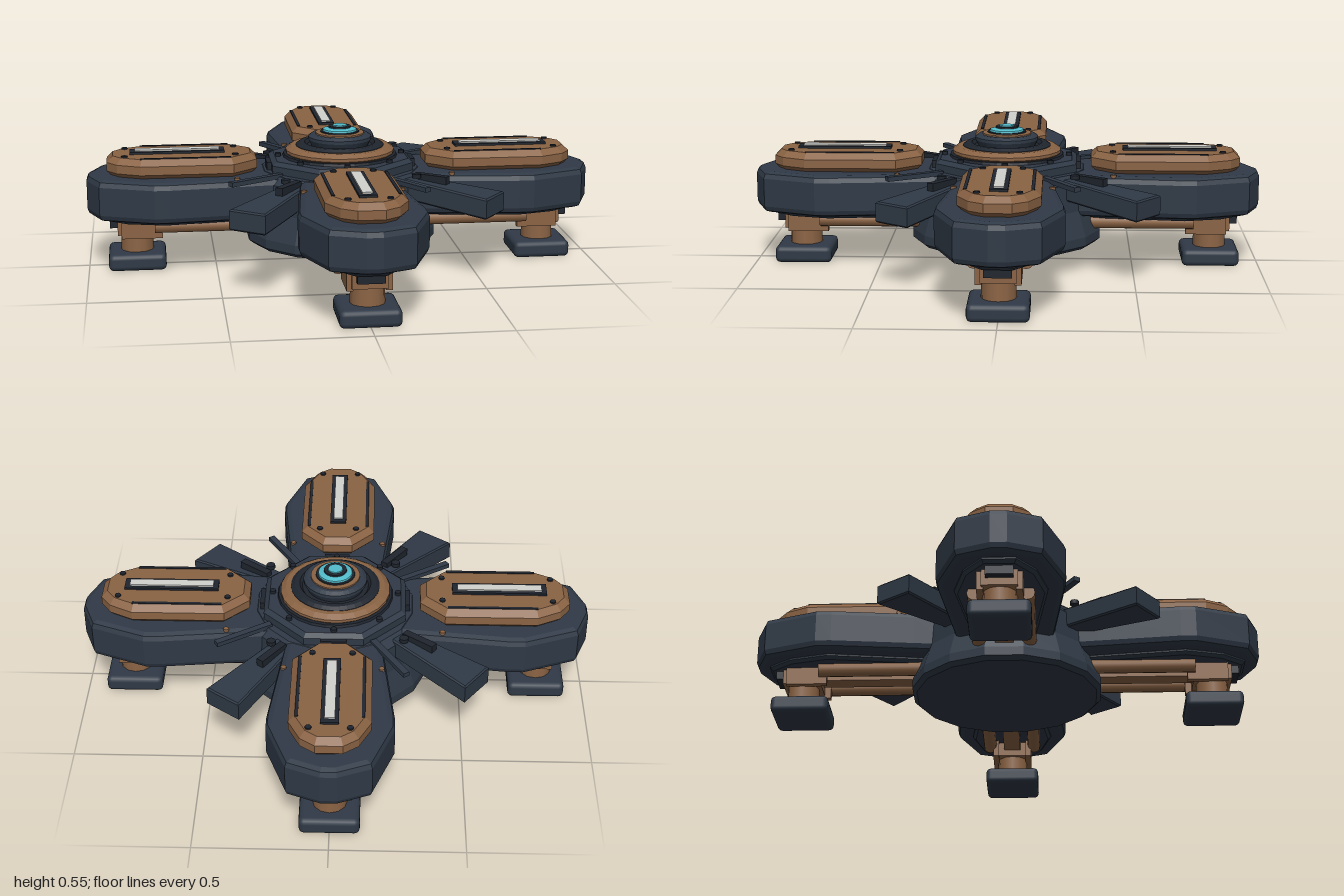
import * as THREE from 'three';
import { RoundedBoxGeometry } from 'three/addons/geometries/RoundedBoxGeometry.js';

const material = (name, color) => {
  const m = new THREE.MeshStandardMaterial({ color });
  m.name = name;
  return m;
};

export function createModel() {
  const navy = material('navy armour', 0x2f3946);
  const black = material('dark trim', 0x1f252e);
  const bronze = material('bronze', 0x8a6344);
  const white = material('light strip', 0xd2d2ce);
  const cyan = material('cyan lens', 0x52bccb);

  const add = (parent, name, geometry, mat, x = 0, y = 0, z = 0) => {
    const mesh = new THREE.Mesh(geometry, mat);
    mesh.name = name;
    mesh.position.set(x, y, z);
    parent.add(mesh);
    return mesh;
  };
  const box = (parent, name, mat, size, pos) => add(parent, name, new THREE.BoxGeometry(...size), mat, ...pos);

  // Horizontal slab with bevelled rims, from half an outline mirrored across z = 0
  const slab = (half, y0, y1, bevel, segments = 1) => {
    const outline = [...half, ...half.slice().reverse().map(([x, z]) => [x, -z])];
    const shape = new THREE.Shape(outline.map(([x, z]) => new THREE.Vector2(x, z)));
    const g = new THREE.ExtrudeGeometry(shape, {
      depth: y1 - y0 - 2 * bevel, bevelEnabled: bevel > 0, bevelThickness: bevel,
      bevelSize: bevel, bevelOffset: -bevel, bevelSegments: segments,
    });
    return g.rotateX(-Math.PI / 2).translate(0, y0 + bevel, 0);
  };
  // Faceted solid of revolution from [radius, y] points
  const turned = (parent, name, mat, points, sides) => {
    const g = new THREE.LatheGeometry(points.map(p => new THREE.Vector2(...p)), sides, Math.PI / sides);
    const flat = g.toNonIndexed();
    flat.computeVertexNormals();
    return add(parent, name, flat, mat);
  };
  const bolt = (parent, name, mat, r, x, y, z) =>
    add(parent, name, new THREE.CylinderGeometry(r, r, 0.016, 8), mat, x, y, z);

  const model = new THREE.Group();
  model.name = 'fourArmedDevice';

  // Central hub and its stepped sensor turret
  const hub = new THREE.Group();
  hub.name = 'hub';
  model.add(hub);
  turned(hub, 'hubBase', navy, [[0, 0.09], [0.36, 0.09], [0.378, 0.105], [0.378, 0.14], [0.345, 0.24],
    [0.34, 0.35], [0.31, 0.38], [0, 0.38]], 16);
  turned(hub, 'hubDeck', navy, [[0.3, 0.36], [0.3, 0.41], [0.28, 0.425], [0, 0.425]], 8);
  turned(hub, 'turretSkirt', black, [[0.23, 0.42], [0.225, 0.435], [0, 0.435]], 24);
  turned(hub, 'bronzeCollar', bronze, [[0.205, 0.43], [0.216, 0.44], [0.216, 0.452], [0.195, 0.466],
    [0.165, 0.466], [0.16, 0.445]], 24);
  turned(hub, 'turretStep', black, [[0.175, 0.44], [0.175, 0.468], [0.16, 0.478], [0.14, 0.478], [0.13, 0.465], [0, 0.465]], 32);
  turned(hub, 'turretDrum', navy, [[0.11, 0.46], [0.125, 0.49], [0.125, 0.502], [0.11, 0.512], [0, 0.512]], 32);
  turned(hub, 'bronzeRing', bronze, [[0.098, 0.505], [0.096, 0.517], [0.08, 0.519], [0, 0.519]], 32);
  turned(hub, 'lensSeat', black, [[0.08, 0.51], [0.076, 0.523], [0, 0.523]], 32);
  turned(hub, 'lensRing', cyan, [[0.068, 0.52], [0.066, 0.53], [0.045, 0.536], [0, 0.536]], 32);
  turned(hub, 'lensCap', black, [[0.046, 0.53], [0.044, 0.542], [0, 0.542]], 24);
  turned(hub, 'lensCore', cyan, [[0.03, 0.54], [0.028, 0.546], [0, 0.546]], 24);
  for (let i = 0; i < 8; i++) {
    const a = i * Math.PI / 4;
    bolt(hub, 'deckBolt', black, 0.012, Math.cos(a) * 0.247, 0.43, Math.sin(a) * 0.247);
  }

  const armHalf = [[0.22, 0.185], [0.36, 0.2], [0.68, 0.235], [0.74, 0.235], [0.95, 0.155], [1, 0.03]];
  const keelHalf = [[0.25, 0.11], [0.7, 0.17], [0.85, 0.13], [0.94, 0.06]];
  const coverHalf = [[0.335, 0.06], [0.43, 0.15], [0.79, 0.15], [0.88, 0.105], [0.92, 0.05]];

  for (let i = 0; i < 4; i++) {
    // One quarter: an arm along +x plus the fittings in the gap beside it
    const quarter = new THREE.Group();
    quarter.name = 'quarter' + (i + 1);
    quarter.rotation.y = i * Math.PI / 2;
    model.add(quarter);

    const arm = new THREE.Group();
    arm.name = 'arm';
    quarter.add(arm);
    add(arm, 'armShell', slab(armHalf, 0.215, 0.378, 0.026, 2), navy);
    add(arm, 'armKeel', slab(keelHalf, 0.195, 0.225, 0.012), navy);
    add(arm, 'armCover', slab(coverHalf, 0.37, 0.452, 0.024), bronze);
    box(arm, 'stripFrame', black, [0.37, 0.014, 0.066], [0.645, 0.454, 0]);
    box(arm, 'lightStrip', white, [0.33, 0.016, 0.038], [0.645, 0.459, 0]);
    for (const s of [-1, 1]) {
      box(arm, 'coverRail', black, [0.35, 0.014, 0.012], [0.615, 0.448, s * 0.12]);
      bolt(arm, 'coverBolt', black, 0.012, 0.42, 0.45, s * 0.075);
      bolt(arm, 'coverBolt', black, 0.012, 0.85, 0.45, s * 0.075);
      bolt(arm, 'armStud', bronze, 0.011, 0.42, 0.376, s * 0.185);
      // Paired bronze struts under the arm
      const strut = add(arm, 'strut', new THREE.CylinderGeometry(0.028, 0.028, 0.46, 12), bronze, 0.51, 0.178, s * 0.095);
      strut.rotation.z = Math.PI / 2;
      box(arm, 'legBracket', bronze, [0.16, 0.08, 0.025], [0.79, 0.165, s * 0.07]);
    }
    box(arm, 'centreBeam', bronze, [0.48, 0.05, 0.07], [0.52, 0.185, 0]);

    // Leg and foot pad
    add(arm, 'legColumn', new THREE.CylinderGeometry(0.06, 0.065, 0.16, 12), bronze, 0.81, 0.13, 0);
    box(arm, 'legHousing', bronze, [0.15, 0.08, 0.13], [0.81, 0.175, 0]);
    box(arm, 'legClamp', black, [0.04, 0.045, 0.1], [0.895, 0.185, 0]);
    add(arm, 'footPad', new RoundedBoxGeometry(0.225, 0.066, 0.225, 2, 0.02), navy, 0.81, 0.033, 0);

    // Flared fin, sloping down outwards
    const fin = add(quarter, 'fin', slab([[0.24, 0.035], [0.7, 0.079]], 0.26, 0.34, 0.006), navy);
    const p = fin.geometry.attributes.position;
    for (let k = 0; k < p.count; k++) p.setY(k, p.getY(k) + Math.max(0, 0.6 - p.getX(k)) * 0.1);
    fin.geometry.computeVertexNormals();
    fin.rotation.y = -0.64;
    fin.position.set(-0.015, 0, -0.01);

    // Short rod, hinge and stud beside the fin
    const rod = box(quarter, 'rod', navy, [0.24, 0.018, 0.026], [0.215, 0.38, 0.35]);
    rod.rotation.y = -Math.atan2(0.12, 0.075);
    const hinge = box(quarter, 'finHinge', black, [0.14, 0.03, 0.03], [0.33, 0.372, 0.235]);
    hinge.rotation.y = -0.64;
    bolt(quarter, 'hingePin', black, 0.018, 0.27, 0.385, 0.24);
    box(quarter, 'deckBracket', black, [0.05, 0.03, 0.1], [0.27, 0.395, 0]);
  }
  return model;
}
